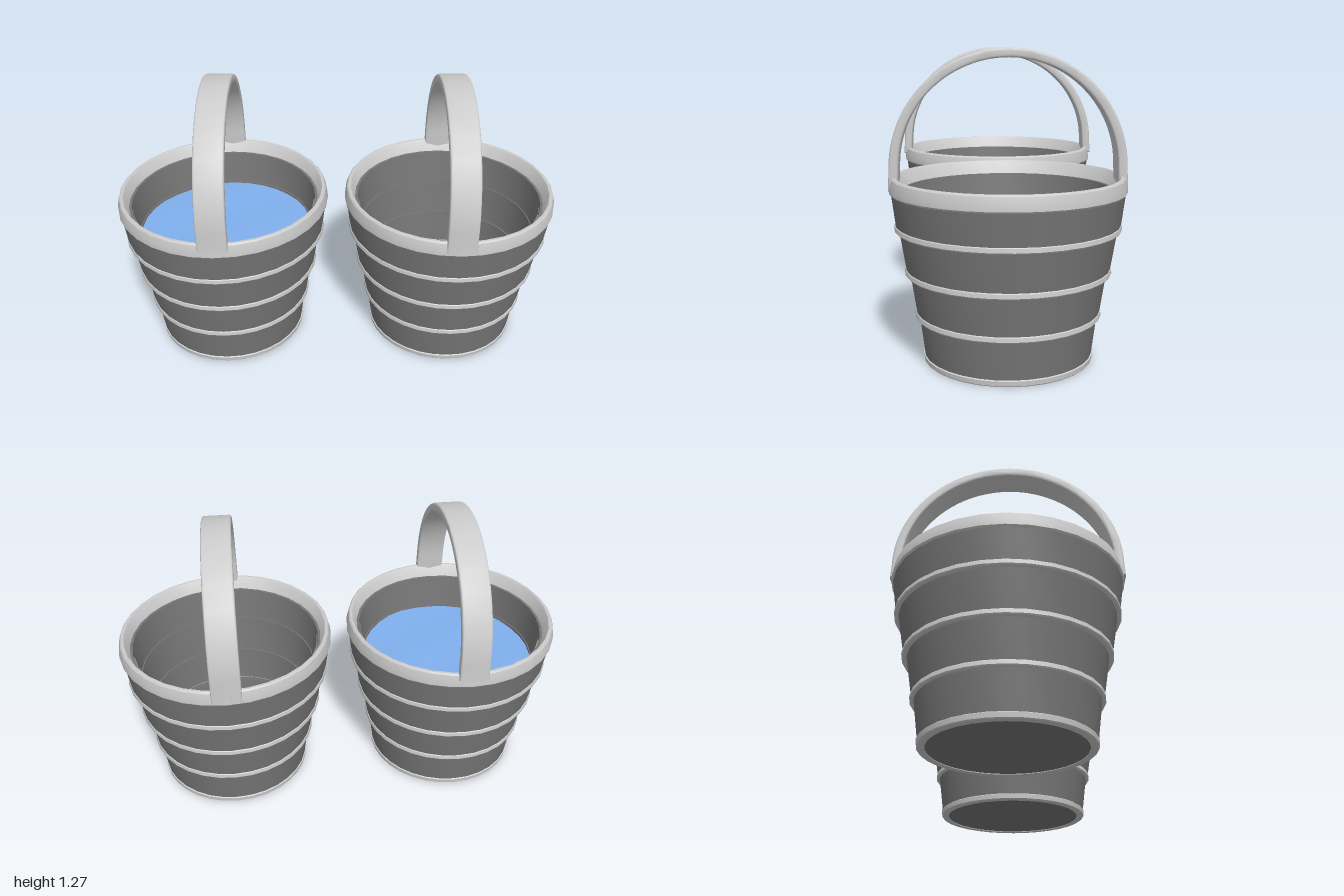
import * as THREE from 'three';
import { toCreasedNormals } from 'three/addons/utils/BufferGeometryUtils.js';

const SIDES = 32;
const light = new THREE.MeshStandardMaterial({ color: 0xcccccc });
const dark = new THREE.MeshStandardMaterial({ color: 0x777777 });
const blue = new THREE.MeshStandardMaterial({ color: 0x80b0ee, side: THREE.DoubleSide });

function add(parent, name, geometry, material) {
  const mesh = new THREE.Mesh(geometry, material);
  mesh.name = name;
  parent.add(mesh);
  return mesh;
}

// Ring turned from a closed [radius, y] profile: up the outside, down the inside
function turned(profile) {
  const points = [...profile, profile[0]].map(([r, y]) => new THREE.Vector2(r, y));
  return toCreasedNormals(new THREE.LatheGeometry(points, SIDES), 0.5);
}

// Flat arched strap with rounded edges, drawn in profile and extruded across
function handleGeometry(radius, endY) {
  const bevel = 0.009, width = 0.128, centerY = 0.79;
  const outer = radius - bevel, inner = radius - 0.038 + bevel;
  const shape = new THREE.Shape();
  shape.moveTo(outer + 0.004, endY + bevel);
  shape.lineTo(outer, centerY);
  shape.absarc(0, centerY, outer, 0, Math.PI, false);
  shape.lineTo(-outer - 0.004, endY + bevel);
  shape.lineTo(-inner - 0.004, endY + bevel);
  shape.lineTo(-inner, centerY);
  shape.absarc(0, centerY, inner, Math.PI, 0, true);
  shape.lineTo(inner + 0.004, endY + bevel);
  shape.closePath();
  const geometry = new THREE.ExtrudeGeometry(shape, {
    depth: width - 2 * bevel, curveSegments: 32,
    bevelEnabled: true, bevelSize: bevel, bevelThickness: bevel, bevelSegments: 3,
  });
  geometry.translate(0, 0, -(width / 2 - bevel));
  geometry.rotateY(Math.PI / 2);
  return toCreasedNormals(geometry, 0.7);
}

// Gently rippled water surface
function waterGeometry(radius) {
  const geometry = new THREE.RingGeometry(0.001, radius, SIDES, 12).rotateX(-Math.PI / 2);
  const p = geometry.attributes.position;
  for (let i = 0; i < p.count; i++) {
    const x = p.getX(i), z = p.getZ(i);
    p.setY(i, 0.004 * Math.sin(14 * x + 5 * z) * Math.cos(11 * z - 4 * x));
  }
  geometry.computeVertexNormals();
  return geometry;
}

function makeBucket(name, handleRadius, handleEnd) {
  const bucket = new THREE.Group();
  bucket.name = name;

  // Tapered wall sections: y range, outer radii, inner radii
  const sections = [
    [0.015, 0.195, 0.343, 0.366, 0.33, 0.345],
    [0.195, 0.375, 0.374, 0.402, 0.35, 0.367],
    [0.375, 0.55, 0.414, 0.443, 0.374, 0.395],
    [0.55, 0.70, 0.453, 0.473, 0.40, 0.42],
  ];
  sections.forEach(([y0, y1, o0, o1, i0, i1], n) => {
    add(bucket, `wallSection${n + 1}`, turned([[o0, y0], [o1, y1], [i1, y1], [i0, y0]]), dark);
  });

  // Raised hoops between the sections
  [[0.183, 0.381], [0.362, 0.421], [0.541, 0.46]].forEach(([y, r], n) => {
    add(bucket, `hoop${n + 1}`, turned([
      [r - 0.03, y], [r - 0.004, y], [r, y + 0.005], [r - 0.002, y + 0.021],
      [r - 0.006, y + 0.025], [r - 0.03, y + 0.025],
    ]), light);
  });

  // Base hoop, underside and floor
  add(bucket, 'baseHoop', turned([
    [0.315, 0], [0.343, 0], [0.347, 0.004], [0.349, 0.023], [0.345, 0.026],
    [0.332, 0.034], [0.308, 0.034],
  ]), light);
  add(bucket, 'underside', new THREE.CircleGeometry(0.316, SIDES).rotateX(Math.PI / 2), dark)
    .position.y = 0.003;
  add(bucket, 'floor', new THREE.CircleGeometry(0.315, SIDES).rotateX(-Math.PI / 2), light)
    .position.y = 0.028;

  // Thick rim that reaches down inside the wall
  add(bucket, 'rim', turned([
    [0.415, 0.69], [0.473, 0.69], [0.479, 0.697], [0.478, 0.72], [0.470, 0.75], [0.464, 0.756],
    [0.454, 0.756], [0.448, 0.75], [0.412, 0.64], [0.42, 0.64],
  ]), light);

  add(bucket, 'handle', handleGeometry(handleRadius, handleEnd), light);
  return bucket;
}

export function createModel() {
  const model = new THREE.Group();
  model.name = 'bucketPair';

  const full = makeBucket('fullBucket', 0.479, 0.725);
  full.position.x = -0.518;
  add(full, 'water', waterGeometry(0.402), blue).position.y = 0.54;

  const empty = makeBucket('emptyBucket', 0.474, 0.70);
  empty.position.x = 0.518;

  model.add(full, empty);
  return model;
}
